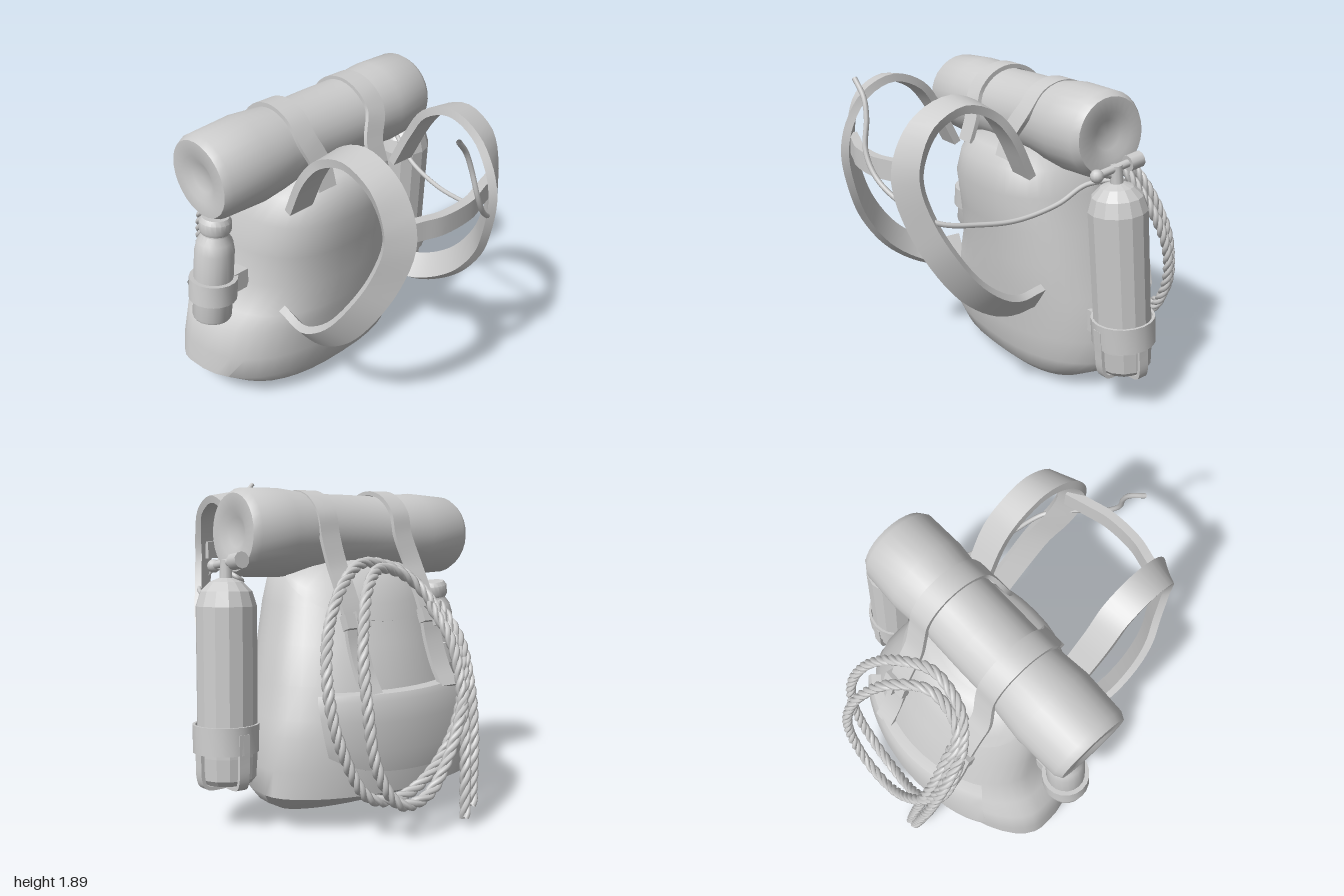
import * as THREE from 'three';
import { toCreasedNormals } from 'three/addons/utils/BufferGeometryUtils.js';

const smooth = new THREE.MeshStandardMaterial({ color: 0xcccccc, side: THREE.DoubleSide });
const flat = new THREE.MeshStandardMaterial({ color: 0xcccccc, flatShading: true, side: THREE.DoubleSide });
const V = (x, y, z) => new THREE.Vector3(x, y, z);
const V2 = (p) => new THREE.Vector2(p[0], p[1]);

function add(parent, name, geo, mat = smooth) {
  const mesh = new THREE.Mesh(geo, mat);
  mesh.name = name;
  parent.add(mesh);
  return mesh;
}

// Turned part with sharp edges kept
const turned = (profile, sides) => toCreasedNormals(new THREE.LatheGeometry(profile.map(V2), sides), 0.6);

// Skin over closed rings of points, with both ends capped
function loft(rings, crease = 0.7) {
  const n = rings[0].length, pos = [], idx = [];
  rings.forEach((r) => r.forEach((p) => pos.push(p.x, p.y, p.z)));
  for (let i = 0; i < rings.length - 1; i++) {
    for (let j = 0; j < n; j++) {
      const a = i * n + j, b = i * n + (j + 1) % n;
      idx.push(a, a + n, b, b, a + n, b + n);
    }
  }
  [0, rings.length - 1].forEach((i) => {
    const c = rings[i].reduce((s, p) => s.add(p), V(0, 0, 0)).divideScalar(n);
    const k = pos.length / 3;
    pos.push(c.x, c.y, c.z);
    for (let j = 0; j < n; j++) {
      const a = i * n + j, b = i * n + (j + 1) % n;
      if (i === 0) idx.push(k, a, b); else idx.push(k, b, a);
    }
  });
  const geo = new THREE.BufferGeometry();
  geo.setAttribute('position', new THREE.Float32BufferAttribute(pos, 3));
  geo.setIndex(idx);
  return toCreasedNormals(geo, crease);
}

// Flat webbing along a path; twists turn it about the path
function ribbon(points, width, thick, { side = V(1, 0, 0), twists = [0, 0], steps = 36 } = {}) {
  const curve = new THREE.CatmullRomCurve3(points);
  const rings = [];
  for (let i = 0; i <= steps; i++) {
    const t = i / steps, f = t * (twists.length - 1), k = Math.min(Math.floor(f), twists.length - 2);
    const tw = THREE.MathUtils.lerp(twists[k], twists[k + 1], f - k);
    const p = curve.getPoint(t), T = curve.getTangent(t);
    const w0 = side.clone().addScaledVector(T, -side.dot(T)).normalize();
    const W = w0.clone().applyAxisAngle(T, tw);
    const N = T.clone().cross(W);
    rings.push([[1, -1], [1, 1], [-1, 1], [-1, -1]].map(([a, b]) =>
      p.clone().addScaledVector(N, a * thick / 2).addScaledVector(W, b * width / 2)));
  }
  return loft(rings);
}

// Bag sections: height, x min, x max, z back, z front
const SECTIONS = [
  [0.01, -0.34, 0.2, -0.25, 0.0], [0.045, -0.58, 0.44, -0.37, 0.07], [0.12, -0.74, 0.57, -0.55, 0.15],
  [0.21, -0.88, 0.66, -0.74, 0.18], [0.35, -0.86, 0.65, -0.75, 0.2], [0.54, -0.82, 0.64, -0.74, 0.21],
  [0.62, -0.73, 0.61, -0.72, 0.22], [0.8, -0.64, 0.57, -0.69, 0.23], [1.0, -0.61, 0.5, -0.6, 0.25],
  [1.2, -0.57, 0.43, -0.52, 0.28], [1.35, -0.5, 0.38, -0.44, 0.26], [1.43, -0.4, 0.28, -0.32, 0.2],
  [1.45, -0.3, 0.18, -0.2, 0.1],
];

// Point on the bag at a height and angle, pushed outward by grow; the back is rounder than the front
function bagPoint(y, angle, grow = 0) {
  let k = SECTIONS.findIndex((s) => s[0] >= y);
  k = k < 0 ? SECTIONS.length - 1 : Math.max(k, 1);
  const A = SECTIONS[k - 1], B = SECTIONS[k], f = (y - A[0]) / (B[0] - A[0]);
  const [x0, x1, z0, z1] = [1, 2, 3, 4].map((i) => THREE.MathUtils.lerp(A[i], B[i], f));
  const zc = z0 + (z1 - z0) * 0.4, c = Math.cos(angle), s = Math.sin(angle);
  const bend = (v) => Math.sign(v) * Math.abs(v) ** (2 / (s > 0 ? 2.5 : 1.9));
  return V((x0 + x1) / 2 + bend(c) * ((x1 - x0) / 2 + grow), y, zc + bend(s) * ((s > 0 ? z1 - zc : zc - z0) + grow));
}

// Three strands twisted round one path
function addRope(parent, name, points, closed) {
  const path = new THREE.CatmullRomCurve3(points, closed);
  const n = Math.round(path.getLength() * 70), turns = Math.round(path.getLength() * 5);
  const fr = path.computeFrenetFrames(n, closed);
  const rope = new THREE.Group();
  rope.name = name;
  for (let s = 0; s < 3; s++) {
    const pts = [];
    for (let i = 0; i < n + (closed ? 0 : 1); i++) {
      const a = (i / n) * turns * Math.PI * 2 + s * Math.PI * 2 / 3;
      pts.push(path.getPointAt(i / n).addScaledVector(fr.normals[i], Math.cos(a) * 0.016)
        .addScaledVector(fr.binormals[i], Math.sin(a) * 0.016));
    }
    add(rope, 'ropeStrand', new THREE.TubeGeometry(new THREE.CatmullRomCurve3(pts, closed), n, 0.017, 6, closed));
  }
  parent.add(rope);
}

export function createModel() {
  const model = new THREE.Group();
  model.name = 'hikingBackpack';

  // Bag
  add(model, 'bag', loft(SECTIONS.map((s) => Array.from({ length: 40 }, (_, j) => bagPoint(s[0], j / 40 * Math.PI * 2))), 0.9));

  // Lid over the back, dipping lowest in the middle
  add(model, 'lid', loft([0, 0.02, 0.3, 0.6, 0.85, 1].map((f, i) => Array.from({ length: 25 }, (_, j) => {
    const a = Math.PI * (1 + j / 24), edge = 1.41 - 0.3 * Math.abs(Math.sin(a)) ** 0.8;
    return bagPoint(edge + (1.445 - edge) * f, a, i === 0 ? -0.02 : 0.025);
  }))));

  // Rear pocket, its foot rising towards the sides
  add(model, 'rearPocket', loft([[0, -0.02], [0.04, 0.04], [0.3, 0.06], [0.65, 0.07], [0.9, 0.075], [0.98, 0.06], [1, -0.02]].map(([f, grow]) =>
    Array.from({ length: 17 }, (_, j) => {
      const t = j / 8 - 1, foot = 0.32 + 0.11 * Math.abs(t) ** 3;
      return bagPoint(foot + (0.77 - foot) * f, Math.PI * (1.5 + (0.25 + 0.03 * f) * t), grow);
    }))));

  // Bedroll with dished ends
  const roll = add(model, 'bedroll', turned([[0, 0.03], [0.08, 0.025], [0.13, 0], [0.215, 0], [0.236, 0.04],
    [0.248, 0.3], [0.232, 0.47], [0.222, 0.55], [0.224, 0.8], [0.222, 1.04], [0.23, 1.12], [0.245, 1.28], [0.237, 1.51],
    [0.21, 1.55], [0.13, 1.55], [0.08, 1.525], [0, 1.52]], 28));
  roll.position.set(-0.87, 1.56, -0.11);
  roll.rotation.z = -Math.PI / 2 + 0.026;

  // Straps round the bedroll and down the back, with buckles
  [[-0.27, -0.32, -0.35], [0.14, 0.21, 0.2]].forEach(([xFront, xTop, xBack]) => {
    const pts = [V(xFront, 1.4, 0.21), V(xFront, 1.53, 0.165)];
    for (let d = 25; d <= 180; d += 31) {
      const a = THREE.MathUtils.degToRad(d);
      pts.push(V(xTop, 1.577 + 0.238 * Math.sin(a), -0.11 + 0.238 * Math.cos(a)));
    }
    [[1.42, -0.4], [1.32, -0.455], [1.15, -0.54], [1.0, -0.58], [0.85, -0.645], [0.74, -0.72]]
      .forEach(([y, z]) => pts.push(V(xBack, y, z)));
    add(model, 'bedrollStrap', ribbon(pts, 0.125, 0.025, { steps: 56 }));
    const buckle = add(model, 'buckle', new THREE.BoxGeometry(0.16, 0.08, 0.05));
    buckle.position.set(xBack, 1.13, -0.565);
    buckle.rotation.x = 0.4;
    const prong = add(model, 'bucklePin', new THREE.BoxGeometry(0.03, 0.12, 0.03));
    prong.position.set(xBack, 1.13, -0.595);
    prong.rotation.x = 0.4;
  });

  // Shoulder straps: distance from the middle, height, depth, twist
  const path = [[0.4, 1.36, 0.2, 0], [0.41, 1.6, 0.32, 0], [0.4, 1.735, 0.43, 0.1], [0.395, 1.795, 0.6, 0.15], [0.385, 1.72, 0.77, 0.25],
    [0.37, 1.57, 0.86, 0.5], [0.37, 1.42, 0.885, 0.65], [0.41, 1.2, 0.835, 0.75], [0.47, 1.0, 0.745, 0.85], [0.495, 0.8, 0.6, 0.9],
    [0.49, 0.67, 0.43, 0.9], [0.465, 0.62, 0.29, 0.95], [0.44, 0.625, 0.13, 1]];
  [-1, 1].forEach((s) => {
    add(model, s < 0 ? 'rightShoulderStrap' : 'leftShoulderStrap', ribbon(path.map(([d, y, z]) => V(-0.065 + s * d, y, z)),
      0.16, 0.045, { twists: path.map((p) => -s * p[3]), steps: 48 }));
  });
  add(model, 'chestStrap', ribbon([V(-0.44, 1.46, 0.85), V(-0.3, 1.46, 0.89), V(-0.17, 1.455, 0.925), V(0.04, 1.455, 0.925),
    V(0.17, 1.46, 0.89), V(0.31, 1.46, 0.85)], 0.11, 0.05, { side: V(0, 1, 0) }));

  // Gas bottle with its valve, hanging in a cradle
  const tank = new THREE.Group();
  tank.name = 'gasBottle';
  tank.position.set(0.73, 1.36, -0.12);
  tank.rotation.set(0.06, 0, 0.045);
  model.add(tank);
  add(tank, 'tankBody', new THREE.LatheGeometry([[0, -1.06], [0.1, -1.06], [0.13, -1.1], [0.155, -1.07], [0.163, -0.95], [0.165, -0.15],
    [0.14, -0.07], [0.09, -0.02], [0.04, 0], [0, 0]].map(V2), 14), flat);
  add(tank, 'tankNeck', new THREE.CylinderGeometry(0.032, 0.036, 0.11, 10)).position.y = 0.04;
  const bar = add(tank, 'valveBar', new THREE.CylinderGeometry(0.022, 0.022, 0.24, 10));
  bar.position.set(0, 0.08, 0);
  bar.rotation.x = Math.PI / 2 + 0.1;
  const knob = add(tank, 'valveKnob', new THREE.CylinderGeometry(0.045, 0.045, 0.085, 10));
  knob.position.set(0, 0.09, -0.12);
  knob.rotation.x = Math.PI / 2 + 0.1;
  add(tank, 'valveOutlet', new THREE.SphereGeometry(0.037, 12, 8)).position.set(0, 0.065, 0.13);
  add(tank, 'cradleRing', turned([[0.165, -0.93], [0.18, -0.93], [0.18, -0.78], [0.165, -0.78], [0.165, -0.93]], 20)).position.x = 0.008;
  [0, Math.PI / 2].forEach((turn) => {
    const sling = add(tank, 'cradleSling', ribbon([V(-0.17, -0.82, 0), V(-0.168, -0.95, 0), V(-0.162, -1.07, 0), V(-0.14, -1.11, 0),
      V(0, -1.115, 0), V(0.14, -1.11, 0), V(0.162, -1.07, 0), V(0.168, -0.95, 0), V(0.17, -0.82, 0)], 0.06, 0.02, { side: V(0, 0, 1) }));
    sling.rotation.y = turn;
  });
  add(model, 'cradleMount', new THREE.BoxGeometry(0.16, 0.13, 0.18)).position.set(0.61, 0.5, -0.16);

  // Hose from the valve to the chest strap
  add(model, 'hose', new THREE.TubeGeometry(new THREE.CatmullRomCurve3([V(0.73, 1.42, -0.02), V(0.68, 1.36, -0.16), V(0.58, 1.32, -0.03),
    V(0.54, 1.23, 0.12), V(0.5, 1.175, 0.35), V(0.46, 1.18, 0.55), V(0.4, 1.22, 0.78), V(0.22, 1.33, 0.92), V(0.1, 1.43, 0.97),
    V(0.03, 1.55, 0.98), V(0, 1.7, 0.95), V(-0.04, 1.8, 0.94), V(-0.12, 1.89, 0.95)]), 90, 0.014, 8));

  // Water bottle in a holder
  const flask = new THREE.Group();
  flask.name = 'waterBottle';
  flask.position.set(-0.83, 0.64, -0.16);
  flask.rotation.z = -0.13;
  model.add(flask);
  add(flask, 'bottleBody', turned([[0, 0], [0.105, 0], [0.112, 0.015], [0.112, 0.43], [0.1, 0.49], [0.075, 0.53], [0.075, 0.56], [0, 0.56]], 20));
  add(flask, 'bottleCap', turned([[0, 0.54], [0.08, 0.54], [0.09, 0.56], [0.09, 0.61], [0.075, 0.635], [0, 0.635]], 20));
  add(flask, 'bottleHolder', turned([[0.11, 0.13], [0.138, 0.13], [0.138, 0.26], [0.11, 0.26], [0.11, 0.13]], 20));
  add(model, 'holderMount', new THREE.BoxGeometry(0.14, 0.12, 0.14)).position.set(-0.65, 0.83, -0.16);

  // Coiled rope: two hanging loops and two tails
  addRope(model, 'outerRopeLoop', [V(-0.36, 1.1, -0.66), V(-0.38, 0.85, -0.8), V(-0.24, 0.54, -0.9), V(0, 0.24, -0.94), V(0.2, 0.22, -0.94),
    V(0.34, 0.42, -0.92), V(0.37, 0.75, -0.87), V(0.31, 1.05, -0.76), V(0.15, 1.32, -0.61), V(-0.05, 1.4, -0.49), V(-0.26, 1.32, -0.51)], true);
  addRope(model, 'innerRopeLoop', [V(-0.4, 1.08, -0.64), V(-0.4, 0.8, -0.78), V(-0.22, 0.45, -0.85), V(0.05, 0.23, -0.84), V(0.3, 0.24, -0.82),
    V(0.46, 0.5, -0.79), V(0.5, 0.8, -0.72), V(0.41, 1.1, -0.6), V(0.2, 1.35, -0.48), V(0, 1.43, -0.41), V(-0.26, 1.35, -0.46)], true);
  [0, 1].forEach((i) => addRope(model, 'ropeTail', [V(-0.31 - i * 0.07, 1.2, -0.59), V(-0.34 - i * 0.07, 0.98, -0.75),
    V(-0.31 - i * 0.07, 0.6, -0.88), V(-0.25 - i * 0.05, 0.06 + i * 0.06, -0.965)], false));

  return model;
}
